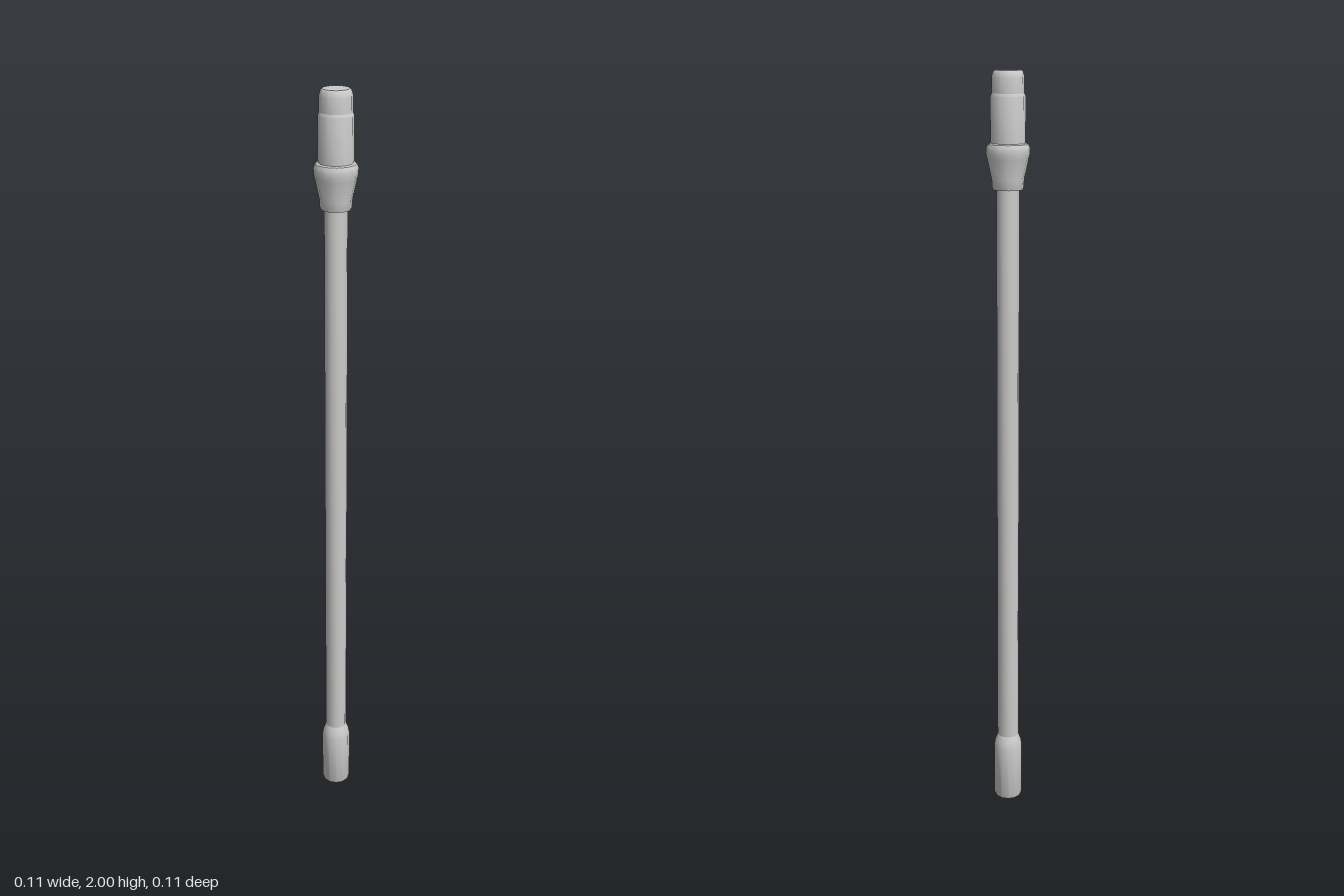
import * as THREE from 'three';
import { toCreasedNormals } from 'three/addons/utils/BufferGeometryUtils.js';

const SIDES = 12;
const material = new THREE.MeshStandardMaterial({ color: 0xcccccc });

// Turned part from [radius, height] pairs, listed bottom to top
function turned(name, profile) {
  const points = profile.map(([r, y]) => new THREE.Vector2(r, y));
  const geometry = toCreasedNormals(new THREE.LatheGeometry(points, SIDES), 0.6);
  const mesh = new THREE.Mesh(geometry, material);
  mesh.name = name;
  return mesh;
}

export function createModel() {
  const group = new THREE.Group();
  group.name = 'rod';

  group.add(
    // Thick foot tapering into the shaft
    turned('foot', [
      [0, 0], [0.036, 0], [0.039, 0.006], [0.039, 0.155], [0.036, 0.172], [0.029, 0.19],
    ]),
    // Long slim shaft
    turned('shaft', [[0.029, 0.17], [0.029, 1.73]]),
    // Flared collar below the grip
    turned('collar', [
      [0.028, 1.71], [0.038, 1.71], [0.04, 1.716], [0.041, 1.735],
      [0.052, 1.785], [0.055, 1.798], [0.055, 1.812], [0.051, 1.822], [0.042, 1.825],
    ]),
    // Straight grip
    turned('grip', [[0.044, 1.815], [0.044, 1.938], [0.041, 1.945]]),
    // Chamfered end cap
    turned('endCap', [[0.041, 1.94], [0.041, 1.985], [0.037, 1.997], [0.034, 2], [0, 2]]),
  );

  return group;
}
